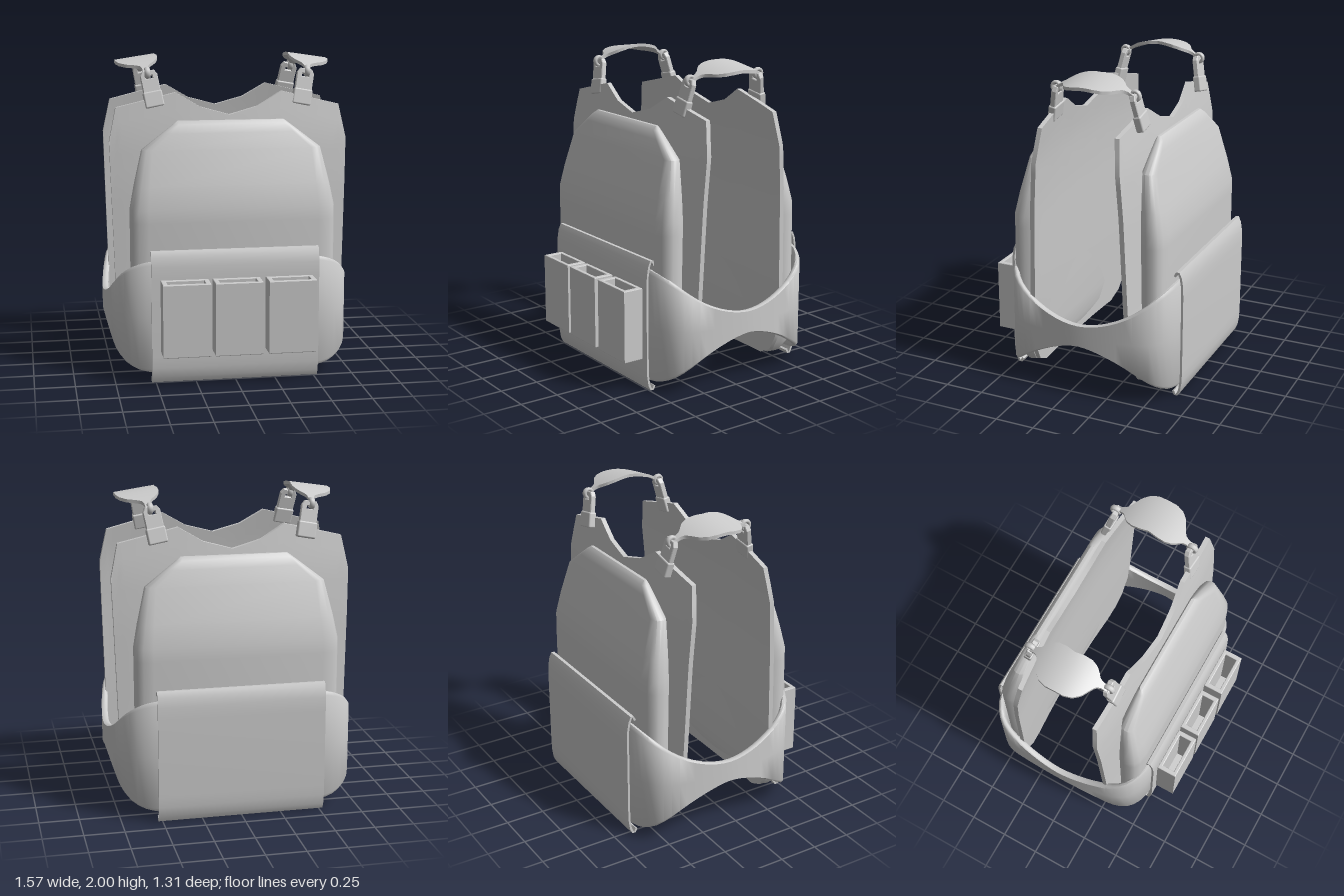
import * as THREE from 'three';
import { toCreasedNormals } from 'three/addons/utils/BufferGeometryUtils.js';
import { RoundedBoxGeometry } from 'three/addons/geometries/RoundedBoxGeometry.js';

const material = new THREE.MeshStandardMaterial({ color: 0xcccccc });

function add(parent, geometry, name, x = 0, y = 0, z = 0) {
  const mesh = new THREE.Mesh(geometry, material);
  mesh.name = name;
  mesh.position.set(x, y, z);
  parent.add(mesh);
  return mesh;
}

// Linear lookup in rows of [key, value, value...]
function at(rows, t, column = 1) {
  let i = 1;
  while (i < rows.length - 1 && rows[i][0] < t) i++;
  const [a, b] = [rows[i - 1], rows[i]];
  const k = THREE.MathUtils.clamp((t - a[0]) / (b[0] - a[0]), 0, 1);
  return THREE.MathUtils.lerp(a[column], b[column], k);
}

// Skin over equal loops of points; each loop runs out along one face and back along the other
function loft(loops, closed = false, crease = 0.6) {
  const n = loops[0].length, m = loops.length, index = [];
  const quad = (a, b, c, d) => index.push(a, b, c, a, c, d);
  for (let i = 0; i < (closed ? m : m - 1); i++) {
    for (let j = 0; j < n; j++) {
      const a = i * n, b = ((i + 1) % m) * n, k = (j + 1) % n;
      quad(a + j, a + k, b + k, b + j);
    }
  }
  if (!closed) {
    const e = (m - 1) * n;
    for (let k = 0; k < n / 2 - 1; k++) {
      quad(n - 1 - k, n - 2 - k, k + 1, k);
      quad(e + k, e + k + 1, e + n - 2 - k, e + n - 1 - k);
    }
  }
  // Turn the faces outward when the enclosed volume is negative
  const p = loops.flat().map(q => new THREE.Vector3(...q));
  let volume = 0;
  for (let i = 0; i < index.length; i += 3) {
    volume += p[index[i]].dot(p[index[i + 1]].clone().cross(p[index[i + 2]]));
  }
  if (volume < 0) index.reverse();
  const g = new THREE.BufferGeometry().setFromPoints(p);
  g.setIndex(index);
  return toCreasedNormals(g, crease);
}

// Thin carrier panel: columns across x, curving toward the body at the top and sides
function panelGeometry() {
  const top = [[0, 1.64], [0.18, 1.69], [0.33, 1.78], [0.70, 1.69], [0.75, 1.48]];
  const bottom = [[0, 0.04], [0.52, 0.05], [0.63, 0.1], [0.70, 0.21], [0.75, 0.42]];
  const depth = [[0, 0.37], [0.6, 0.34], [1.2, 0.32], [1.5, 0.3], [1.78, 0.26]];
  const half = [0, 0.06, 0.12, 0.18, 0.255, 0.33, 0.43, 0.52, 0.58, 0.63, 0.67, 0.70, 0.725, 0.75];
  const columns = [...half.slice(1).reverse().map(u => -u), ...half];
  const rows = 16;
  return loft(columns.map(u => {
    const y0 = at(bottom, Math.abs(u)), y1 = at(top, Math.abs(u));
    const line = [];
    for (let r = 0; r <= rows; r++) {
      const y = y0 + (y1 - y0) * r / rows;
      const x = u * (0.71 + 0.027 * y) / 0.75;
      line.push([x, y, at(depth, y) + 0.02 - 0.04 * (x / 0.7) ** 2]);
    }
    return [
      ...line.map(([x, y, z]) => [x, y, z + 0.015]),
      ...line.reverse().map(([x, y, z]) => [x, y, z - 0.015]),
    ];
  }));
}

// Padded plate bag: rows of height, half width, inner and outer depth
function plateGeometry() {
  const rows = [
    [0.04, 0.50, 0.40, 0.43], [0.07, 0.57, 0.375, 0.465], [0.14, 0.62, 0.36, 0.50], [0.25, 0.64, 0.35, 0.515],
    [0.60, 0.64, 0.345, 0.515], [1.00, 0.64, 0.335, 0.515], [1.08, 0.64, 0.335, 0.512], [1.22, 0.613, 0.33, 0.482],
    [1.44, 0.56, 0.325, 0.425], [1.54, 0.43, 0.33, 0.402], [1.59, 0.365, 0.335, 0.387], [1.612, 0.335, 0.345, 0.365],
  ];
  // Rounded end: inset from the side, fraction of the depth
  const end = [[0.11, 1], [0.05, 0.94], [0.015, 0.83], [0, 0.66], [0, 0.42], [0.02, 0.2], [0.11, 0]];
  return loft(rows.map(([y, w, zi, zo]) => {
    const k = (zo - zi) / 0.18;
    const right = end.map(([inset, f]) => [w - inset * k, y, zi + (zo - zi) * f]);
    const left = [...right].reverse().map(([x, yy, z]) => [-x, yy, z]);
    return [...right, ...left];
  }).map(loop => [...loop.slice(4), ...loop.slice(0, 4)]), false, 0.7);
}

// Side-to-side band: tall at front and back, narrow at the waist
function bandGeometry() {
  const quarter = [[0.785, 0], [0.776, 0.15], [0.758, 0.29], [0.735, 0.4], [0.695, 0.475], [0.62, 0.53], [0.52, 0.558], [0.25, 0.565]];
  const flip = quarter.slice(1).reverse();
  const plan = [
    ...quarter, [0, 0.565], ...flip.map(([x, z]) => [-x, z]),
    ...quarter.map(([x, z]) => [-x, -z]), [0, -0.565], ...flip.map(([x, z]) => [x, -z]),
  ];
  const curve = new THREE.CatmullRomCurve3(plan.map(([x, z]) => new THREE.Vector3(x, 0, z)), true);
  const loops = [], steps = 96, t = 0.038, b = 0.012;
  const section = [[0, 0.03], [0, 0.5], [0, 0.97], [b, 1], [t - b, 1], [t, 0.97], [t, 0.5], [t, 0.03], [t - b, 0], [b, 0]];
  for (let i = 0; i < steps; i++) {
    const p = curve.getPointAt(i / steps), d = curve.getTangentAt(i / steps);
    const k = Math.min(1, Math.abs(p.z) / 0.56);
    const hi = 0.485 + 0.285 * k ** 1.9, lo = 0.34 - 0.28 * k ** 1.6;
    loops.push(section.map(([inset, f]) => [p.x - d.z * inset, lo + (hi - lo) * f, p.z + d.x * inset]));
  }
  return loft(loops, true, 0.9);
}

// Flap sheet hooked over the band at top and bottom
function flapGeometry() {
  const path = [[0.533, 0.805], [0.545, 0.83], [0.558, 0.832], [0.572, 0.80], [0.582, 0.74], [0.584, 0.66],
    [0.584, 0.17], [0.582, 0.1], [0.573, 0.04], [0.558, 0.007], [0.545, 0.007], [0.533, 0.03]];
  const points = path.map(([z, y]) => new THREE.Vector2(z, y));
  const side = s => points.map((p, i) => {
    const d = points[Math.min(i + 1, points.length - 1)].clone().sub(points[Math.max(i - 1, 0)]).normalize();
    return [p.x - d.y * 0.007 * s, p.y + d.x * 0.007 * s];
  });
  const outline = [...side(1), ...side(-1).reverse()];
  return loft([-0.525, 0.525].map(x => outline.map(([z, y]) => [x, y, z])), false, 0.7);
}

// Shoulder pad: narrow ends, broad arched middle sloping outward
function padGeometry(s) {
  const widths = [[0, 0.435, 0.685], [0.06, 0.425, 0.685], [0.11, 0.425, 0.668], [0.15, 0.44, 0.63],
    [0.175, 0.463, 0.58], [0.195, 0.487, 0.545], [0.22, 0.495, 0.532], [0.265, 0.495, 0.53]];
  const loops = [];
  for (let i = -24; i <= 24; i++) {
    const z = 0.265 * i / 24;
    const a = at(widths, Math.abs(z), 1), b = at(widths, Math.abs(z), 2);
    const line = [0, 0.25, 0.5, 0.75, 1].map(f => {
      const x = a + (b - a) * f;
      return [s * x, 2 - 1.2 * z * z - 0.15 * Math.max(0, x - 0.43), z];
    });
    loops.push([...line, ...[...line].reverse().map(([x, y, zz]) => [x, y - 0.02, zz])]);
  }
  return loft(loops);
}

// Buckle with a slotted tongue, standing on its lower edge
function addBuckle(parent, x, side) {
  const buckle = new THREE.Group();
  buckle.name = 'strapBuckle';
  buckle.position.set(x, 1.69, 0.295);
  buckle.rotation.set(-0.2, 0, -0.18 * side);
  add(buckle, new RoundedBoxGeometry(0.12, 0.1, 0.05, 2, 0.01), 'buckleBase', 0, 0.05, 0);
  const shape = new THREE.Shape([[-0.05, 0.09], [0.05, 0.09], [0.05, 0.2], [0.035, 0.225], [-0.035, 0.225], [-0.05, 0.2]]
    .map(p => new THREE.Vector2(...p)));
  shape.holes.push(new THREE.Path([[-0.025, 0.175], [-0.025, 0.2], [0.025, 0.2], [0.025, 0.175]]
    .map(p => new THREE.Vector2(...p))));
  add(buckle, new THREE.ExtrudeGeometry(shape, {
    depth: 0.026, bevelEnabled: true, bevelSize: 0.004, bevelThickness: 0.004, bevelSegments: 1,
  }), 'buckleTongue', 0, 0, -0.013);
  parent.add(buckle);
  // Loop joining the buckle to the pad
  const ring = add(parent, new THREE.TorusGeometry(0.026, 0.012, 8, 20), 'strapLoop', x + side * 0.045, 1.9, 0.26);
  ring.rotation.y = Math.PI / 2;
  ring.scale.z = 1.5;
}

// Open-topped pouch
function addPouch(parent, x) {
  const pouch = new THREE.Group();
  pouch.name = 'pouch';
  pouch.position.set(x, 0.2, 0.588);
  const rect = (w, h, C) => new C([[-w, -h], [w, -h], [w, h], [-w, h]].map(p => new THREE.Vector2(...p)));
  const shape = rect(0.143, 0.061, THREE.Shape);
  shape.holes.push(rect(0.122, 0.046, THREE.Path));
  const walls = new THREE.ExtrudeGeometry(shape, {
    depth: 0.45, bevelEnabled: true, bevelSize: 0.005, bevelThickness: 0.005, bevelSegments: 2,
  });
  add(pouch, walls.rotateX(-Math.PI / 2), 'pouchWalls', 0, 0.005, 0);
  add(pouch, new THREE.BoxGeometry(0.26, 0.02, 0.11), 'pouchFloor', 0, 0.011, 0);
  parent.add(pouch);
}

export function createModel() {
  const model = new THREE.Group();
  model.name = 'plateVest';
  const panel = panelGeometry(), plate = plateGeometry(), flap = flapGeometry();

  // Front and back halves, the back turned half way round
  for (const f of [1, -1]) {
    const body = new THREE.Group(), outer = new THREE.Group();
    body.name = f > 0 ? 'frontHalf' : 'backHalf';
    outer.name = f > 0 ? 'frontFittings' : 'backFittings';
    body.position.z = -0.05;
    outer.position.z = -0.07;
    body.rotation.y = outer.rotation.y = f > 0 ? 0 : Math.PI;
    add(body, panel, 'carrierPanel');
    add(body, plate, 'plateBag');
    add(outer, flap, 'flap');
    for (const s of [1, -1]) addBuckle(outer, s * 0.46, s);
    model.add(body, outer);
  }

  add(model, bandGeometry(), 'waistBand', 0, 0, -0.07);
  add(model, padGeometry(1), 'leftShoulderPad', 0, 0, -0.07);
  add(model, padGeometry(-1), 'rightShoulderPad', 0, 0, -0.07);
  for (const x of [-0.322, 0, 0.333]) addPouch(model, x);
  return model;
}
